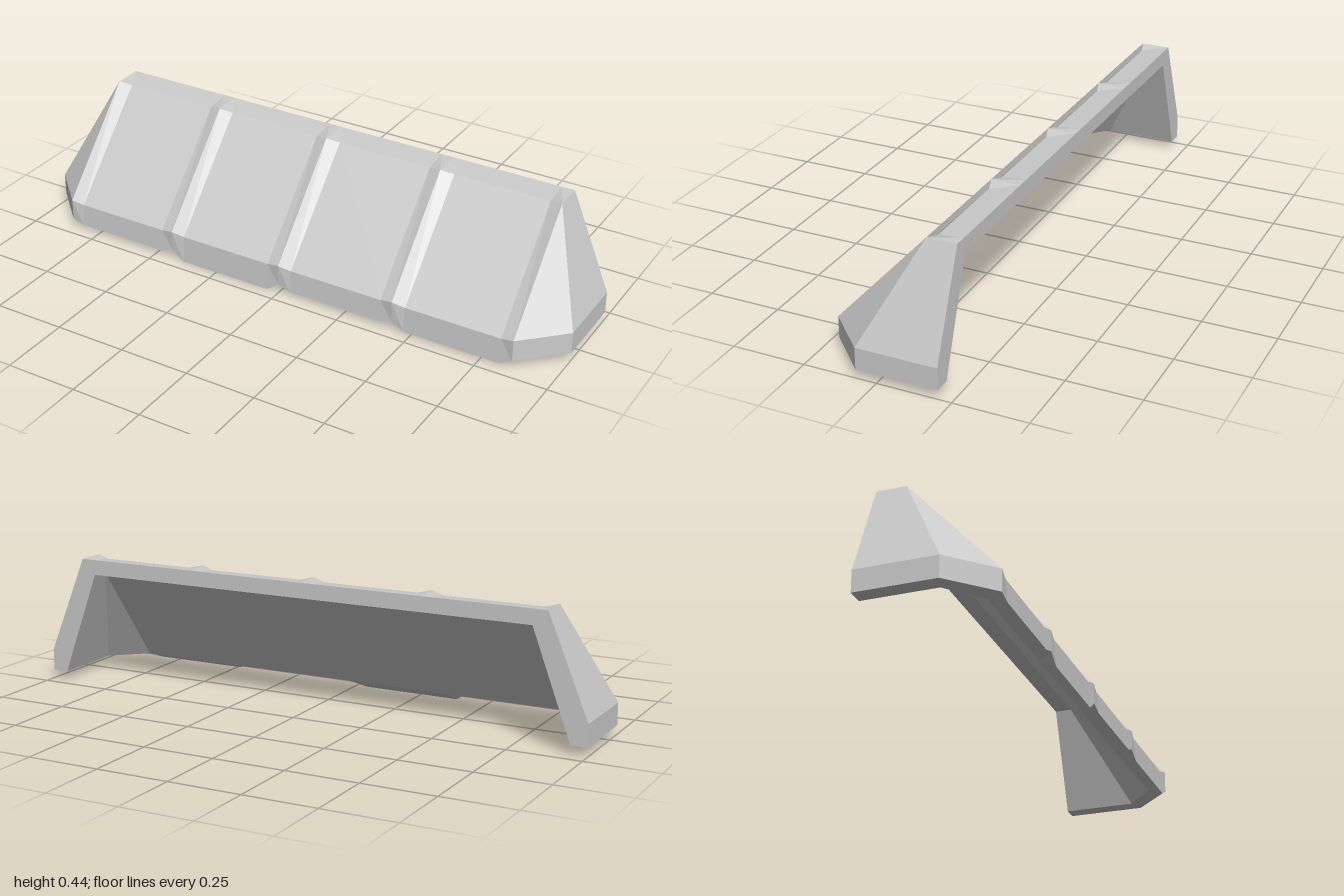
import * as THREE from 'three';

const material = new THREE.MeshStandardMaterial({ color: 0xcccccc, flatShading: true });

// Ribs stand proud; between them each cloth panel sags and hangs to its own depth.
const RIBS = [-0.86, -0.43, 0, 0.43, 0.86];
const HEMS = [0.02, 0.003, 0.02, 0.01];

// Closed cross-section at x: top back, ridge, valance top, hem, then the lining back up.
function section(x, sag, hem) {
  return [
    [x, 0.447, -0.205],
    [x, 0.447 - sag, -0.105 - sag * 1.4],
    [x, 0.108 - sag, 0.207 - sag * 0.7],
    [x, hem, 0.207],
    [x * 0.965, 0.033, 0.15],
    [x * 0.942, 0.395, -0.145],
    [x * 0.942, 0.395, -0.205],
  ];
}

// The two sections that fold the awning round one end to the wall.
function endSections(s) {
  const [A, B, , , , F, G] = section(0.86 * s, 0, 0.033);
  const corner = [A, B, [s, 0.108, 0.07], [s, 0.033, 0.07], [0.944 * s, 0.033, 0.05], F, G];
  const wall = [A, A, [s, 0.108, -0.205], [s, 0.033, -0.205], [0.944 * s, 0.033, -0.205], G, G];
  return [corner, wall];
}

function allSections() {
  const front = [];
  RIBS.forEach((x, i) => {
    front.push(section(x, 0, i === 0 || i === 4 ? 0.033 : 0.036));
    if (i < 4) {
      front.push(section(x + 0.045, 0.01, HEMS[i]));
      front.push(section(RIBS[i + 1] - 0.045, 0.01, HEMS[i]));
    }
  });
  return [...endSections(-1).reverse(), ...front, ...endSections(1)];
}

function addTriangle(out, a, b, c) {
  const [p, q, r] = [a, b, c].map((v) => new THREE.Vector3(...v));
  if (new THREE.Triangle(p, q, r).getArea() > 1e-7) out.push(...a, ...b, ...c);
}

// Skin between neighbouring sections, for the given rows of the cross-section.
function loft(sections, rows) {
  const out = [];
  for (let i = 0; i < sections.length - 1; i++) {
    const l = sections[i], r = sections[i + 1];
    for (const j of rows) {
      const k = (j + 1) % l.length;
      addTriangle(out, l[j], l[k], r[k]);
      addTriangle(out, l[j], r[k], r[j]);
    }
  }
  return out;
}

function makeMesh(name, positions) {
  const geometry = new THREE.BufferGeometry();
  geometry.setAttribute('position', new THREE.Float32BufferAttribute(positions, 3));
  geometry.computeVertexNormals();
  const mesh = new THREE.Mesh(geometry, material);
  mesh.name = name;
  return mesh;
}

export function createModel() {
  const group = new THREE.Group();
  group.name = 'awning';
  const sections = allSections();

  group.add(makeMesh('canopy', loft(sections, [0, 1])));
  group.add(makeMesh('valance', loft(sections, [2])));
  group.add(makeMesh('hemUnderside', loft(sections, [3])));
  group.add(makeMesh('lining', loft(sections, [4, 5])));
  group.add(makeMesh('topBackEdge', loft(sections, [6])));

  // Back edges of the two side walls
  for (const s of [-1, 1]) {
    const [A, , C, D, E, , G] = endSections(s)[1];
    const ring = s > 0 ? [D, E, G, A, C] : [D, C, A, G, E];
    const out = [];
    for (let i = 1; i < 4; i++) addTriangle(out, ring[0], ring[i], ring[i + 1]);
    group.add(makeMesh(s > 0 ? 'leftBackEdge' : 'rightBackEdge', out));
  }
  return group;
}
